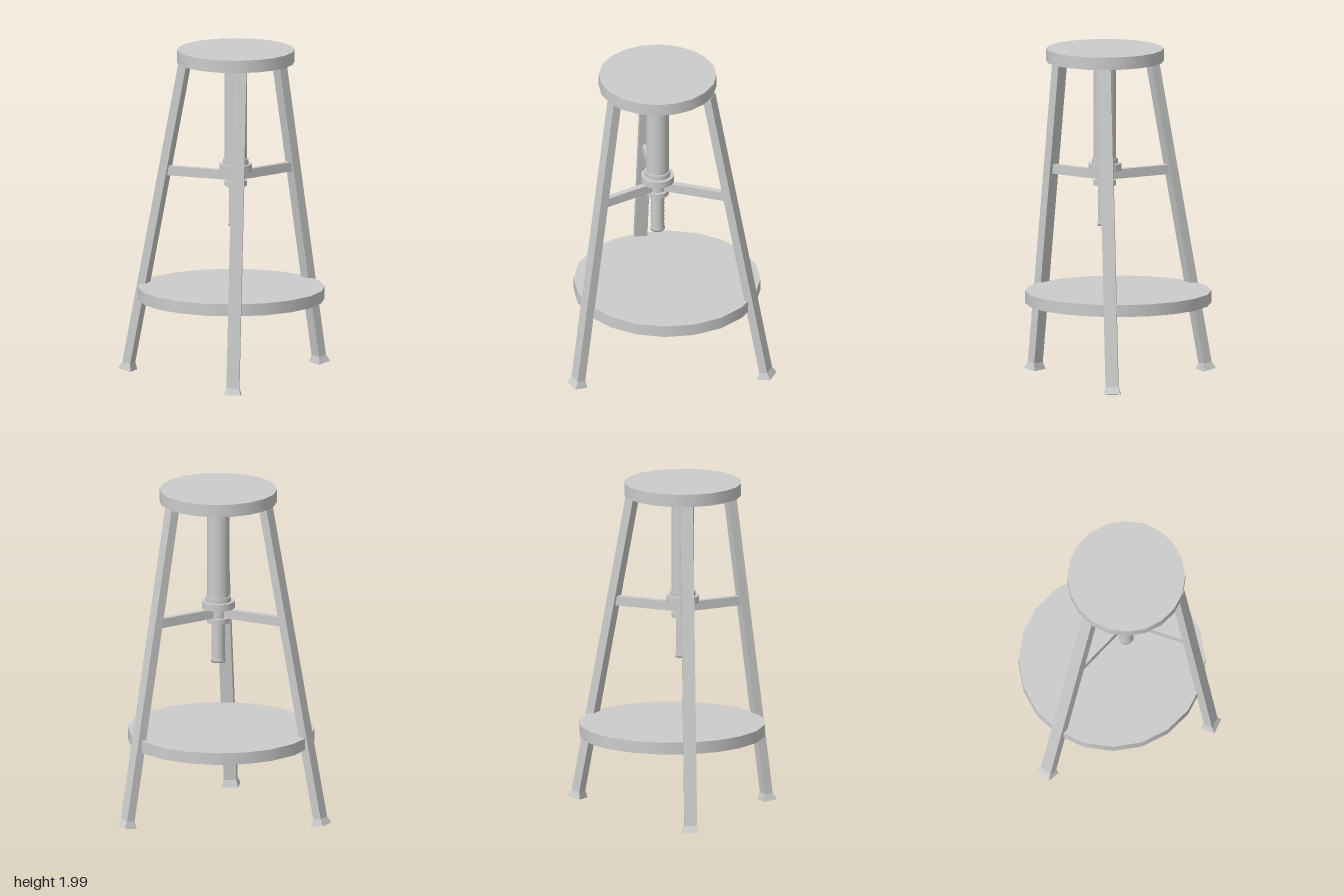
import * as THREE from 'three';

const V = (x, y, z) => new THREE.Vector3(x, y, z);

export function createModel() {
  const group = new THREE.Group();
  const material = new THREE.MeshStandardMaterial({ color: 0xcccccc });
  const add = (name, geometry, parent = group) => {
    const mesh = new THREE.Mesh(geometry, material);
    mesh.name = name;
    parent.add(mesh);
    return mesh;
  };
  // Upright disc or tube between two heights
  const disc = (name, x, z, radius, y0, y1, sides = 20) =>
    add(name, new THREE.CylinderGeometry(radius, radius, y1 - y0, sides).translate(x, (y0 + y1) / 2, z));

  const cx = 0.093, cz = 0.1;
  disc('seat', cx, cz, 0.35, 1.925, 2);
  disc('footShelf', 0.014, 0.068, 0.555, 0.476, 0.548);

  // Central column with its stack of collars
  disc('columnCap', cx, cz, 0.063, 1.89, 1.926);
  disc('column', cx, cz, 0.067, 1.335, 1.895);
  disc('upperCollar', cx, cz, 0.077, 1.308, 1.34);
  disc('flange', cx, cz, 0.098, 1.268, 1.31);
  disc('hub', cx, cz, 0.05, 1.2, 1.27);
  disc('lowerCollar', cx, cz, 0.067, 1.178, 1.21);

  // Threaded screw below the collars
  const profile = [new THREE.Vector2(0, 0.935), new THREE.Vector2(0.043, 0.935), new THREE.Vector2(0.043, 0.95)];
  for (let i = 0; i < 8; i++) {
    const y = 0.955 + i * 0.028;
    profile.push(new THREE.Vector2(0.038, y), new THREE.Vector2(0.042, y + 0.014));
  }
  profile.push(new THREE.Vector2(0.038, 1.185));
  add('screw', new THREE.LatheGeometry(profile, 20).translate(cx, 0, cz));

  // Legs: middle of the outer face at top and bottom, and the way it faces
  const width = 0.076, depth = 0.052, footHeight = 0.042;
  const legs = [
    { top: V(-0.21, 1.925, 0.267), bottom: V(-0.535, 0.022, 0.447), out: V(-0.89, 0, 0.45) },
    { top: V(0.376, 1.925, 0.298), bottom: V(0.525, 0.018, 0.478), out: V(0.737, 0, 0.676) },
    { top: V(0.1, 1.925, -0.25), bottom: V(0.058, 0.028, -0.6), out: V(0.07, 0, -1) },
  ];
  for (const { top, bottom, out } of legs) {
    const axis = top.clone().sub(bottom);
    const length = axis.length();
    axis.normalize();
    const normal = V(out.z, 0, -out.x).cross(axis).normalize();
    const side = axis.clone().cross(normal);

    const leg = new THREE.Group();
    leg.name = 'leg';
    leg.quaternion.setFromRotationMatrix(new THREE.Matrix4().makeBasis(side, axis, normal));
    leg.position.copy(bottom).addScaledVector(normal, -depth / 2);
    group.add(leg);
    add('legBar', new THREE.BoxGeometry(width, length - footHeight, depth)
      .translate(0, (length + footHeight) / 2, 0), leg);

    // Foot flares out towards the floor
    const foot = new THREE.BoxGeometry(width, footHeight, depth).translate(0, footHeight / 2, 0);
    const p = foot.attributes.position;
    for (let i = 0; i < p.count; i++) {
      if (p.getY(i) < 0.001) p.setXYZ(i, p.getX(i) * 1.32, 0, p.getZ(i) * 1.6);
    }
    foot.computeVertexNormals();
    add('foot', foot, leg);

    // Strut from the hub to the middle of the leg
    const y = 1.239;
    const end = bottom.clone().lerp(top, (y - bottom.y) / (top.y - bottom.y)).addScaledVector(normal, -depth / 2);
    const dx = end.x - cx, dz = end.z - cz, reach = Math.hypot(dx, dz);
    const strut = add('strut', new THREE.BoxGeometry(0.035, 0.056, reach).translate(0, 0, reach / 2));
    strut.position.set(cx, y, cz);
    strut.rotation.y = Math.atan2(dx, dz);
  }
  return group;
}
